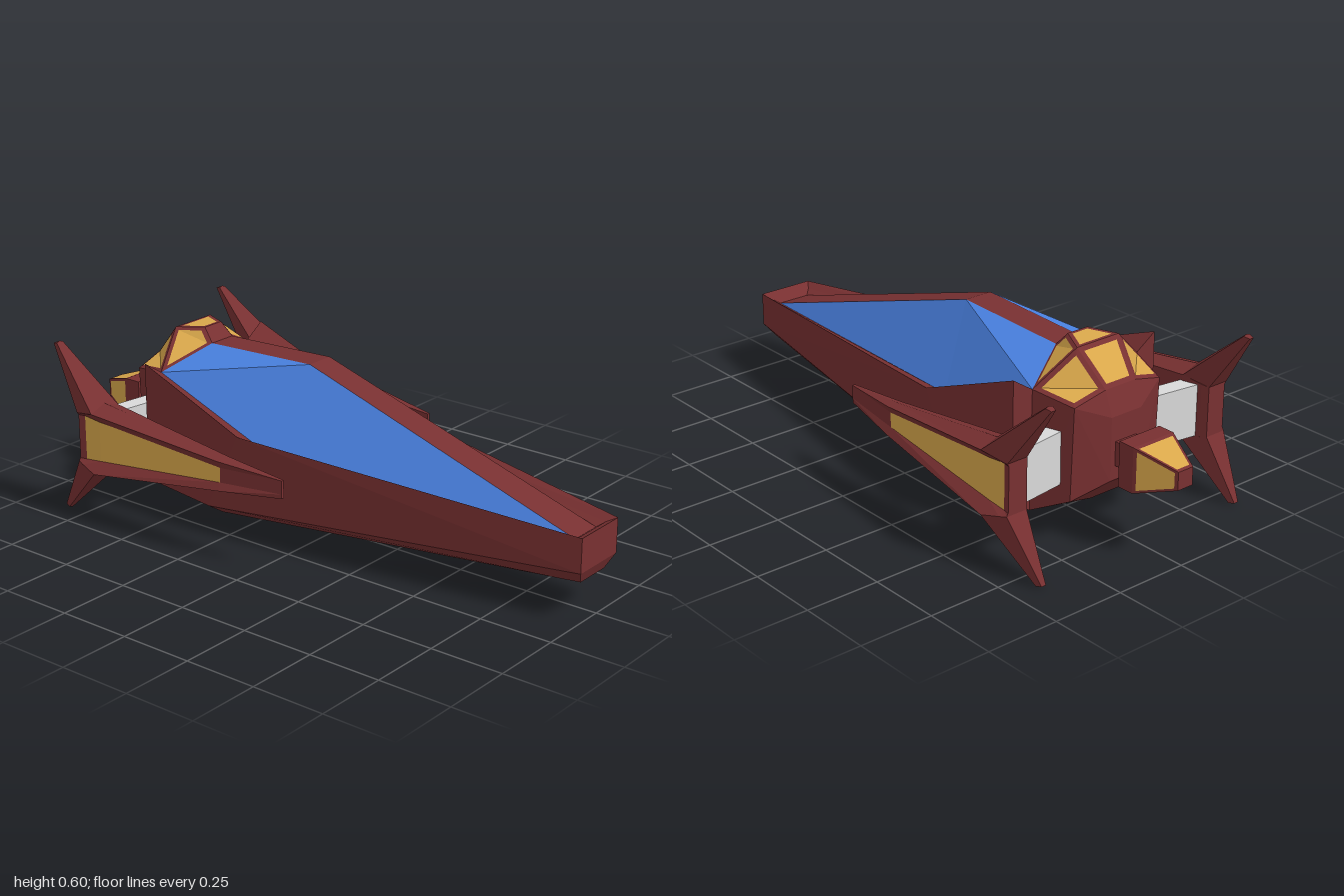
import * as THREE from 'three';
import { ConvexGeometry } from 'three/addons/geometries/ConvexGeometry.js';

const paint = (name, color) => {
  const m = new THREE.MeshStandardMaterial({ color, flatShading: true, side: THREE.DoubleSide });
  m.name = name;
  return m;
};

export function createModel() {
  const red = paint('dark red', 0x783031);
  const blue = paint('canopy blue', 0x4a82e2);
  const gold = paint('gold', 0xdaa84b);
  const grey = paint('light grey', 0xd9d9d9);
  const model = new THREE.Group();
  model.name = 'spaceship';

  const add = (name, geo, mat) => {
    const mesh = new THREE.Mesh(geo, mat);
    mesh.name = name;
    model.add(mesh);
    return mesh;
  };
  // flat polygons, fan-triangulated; s = -1 mirrors them to the other side
  const faces = (name, mat, polys, s = 1) => {
    const pos = [];
    for (const p of polys) {
      for (let i = 1; i < p.length - 1; i++) {
        const tri = s > 0 ? [p[0], p[i], p[i + 1]] : [p[0], p[i + 1], p[i]];
        for (const [x, y, z] of tri) pos.push(x * s, y, z);
      }
    }
    const geo = new THREE.BufferGeometry();
    geo.setAttribute('position', new THREE.Float32BufferAttribute(pos, 3));
    geo.computeVertexNormals();
    return add(name, geo, mat);
  };
  const solid = (name, mat, pts, s = 1) =>
    add(name, new ConvexGeometry(pts.map(([x, y, z]) => new THREE.Vector3(x * s, y, z))), mat);
  const box = (name, w, h, d, x, y, z) =>
    add(name, new THREE.BoxGeometry(w, h, d), red).position.set(x, y, z);
  const mid = ([, y, z]) => [0, y, z];
  const flip = ([x, y, z]) => [-x, y, z];
  // gold panel with a red border
  const framed = (name, poly, k, s = 1) => {
    const c = [0, 1, 2].map(a => poly.reduce((t, p) => t + p[a], 0) / poly.length);
    const inner = poly.map(p => p.map((v, a) => c[a] + (v - c[a]) * k));
    const n = poly.length;
    faces(name + 'Frame', red, poly.map((p, i) => [p, poly[(i + 1) % n], inner[(i + 1) % n], inner[i]]), s);
    faces(name + 'Panel', gold, [inner], s);
  };

  // key points of the left half of the hull, front to back
  const T = [[0.1, 0.28, 1], [0.295, 0.375, -0.17], [0.29, 0.535, -0.57]];
  const L = [[0.1, 0.165, 1], [0.295, 0.105, -0.3], [0.29, 0.13, -0.57]];
  const B = [[0.065, 0.12, 0.98], [0.225, 0.06, -0.3], [0.22, 0.085, -0.57]];
  const I = [[0.08, 0.265, 0.97], [0.22, 0.335, -0.17], [0.215, 0.485, -0.57]];
  const N = [0.058, 0.25, 0.95], P = [0.05, 0.575, -0.07], Q = [0.05, 0.56, -0.49];
  // dome points
  const A = [0.04, 0.605, -0.53], C = [0.085, 0.6, -0.62];
  const E = [0.175, 0.46, -0.71], D = [0.06, 0.49, -0.72];

  // wing cross-sections: eight points around a centre line at y = 0.29
  const section = (z, xi, xo, xp, h, hp, pk) => {
    const xm = (xi + xo) / 2;
    return [[xi, h], [xm, h + pk], [xo, h], [xp, hp], [xp, -hp], [xo, -h], [xm, -h - pk], [xi, -h]]
      .map(([x, y]) => [x, y + 0.29, z]);
  };
  const W = [
    section(0.09, 0.375, 0.385, 0.385, 0.03, 0.015, 0),
    section(-0.14, 0.37, 0.425, 0.412, 0.05, 0.025, 0.008),
    section(-0.64, 0.35, 0.475, 0.44, 0.105, 0.069, 0.022),
    section(-0.705, 0.367, 0.46, 0.44, 0.09, 0.076, 0.005),
    section(-0.73, 0.375, 0.452, 0.445, 0.085, 0.076, 0),
  ];

  for (const s of [1, -1]) {
    const side = s > 0 ? 'left' : 'right';

    // hull: side, chamfer, bottom, rim, nose and inner wall
    const skin = [
      [mid(L[0]), L[0], T[0], mid(T[0])],
      [mid(B[0]), B[0], L[0], mid(L[0])],
      [mid(T[0]), T[0], I[0], mid(I[0])],
      [mid(I[0]), I[0], N, mid(N)],
      [I[0], I[1], N],
      [T[2], L[2], B[2], I[2]],
    ];
    for (let i = 0; i < 2; i++) {
      skin.push(
        [L[i], L[i + 1], T[i + 1], T[i]],
        [B[i], B[i + 1], L[i + 1], L[i]],
        [mid(B[i]), mid(B[i + 1]), B[i + 1], B[i]],
        [T[i], T[i + 1], I[i + 1], I[i]]);
    }
    faces(side + 'Hull', red, skin, s);

    // canopy glass and half of the central spine
    faces(side + 'Canopy', blue, [[N, I[1], P], [P, I[1], I[2]], [P, I[2], Q]], s);
    faces(side + 'Spine', red, [[N, P, mid(P), mid(N)], [P, Q, mid(Q), mid(P)]], s);

    // dome side facets
    framed(side + 'DomeFront', [Q, I[2], C, A], 0.78, s);
    framed(side + 'DomeRear', [I[2], E, D, C], 0.78, s);

    // strut between body and wing
    const strut = [];
    for (const y of [0.2, 0.375]) {
      strut.push([0.16, y, -0.605], [0.16, y, -0.665], [0.385, y, -0.635], [0.385, y, -0.695]);
    }
    solid(side + 'Strut', grey, strut, s);

    // wing pod with a gold outer panel
    const wing = [[...W[0]].reverse(), W[4]], panel = [];
    for (let k = 0; k < 4; k++) {
      for (let i = 0; i < 8; i++) {
        const j = (i + 1) % 8;
        const quad = [W[k][i], W[k][j], W[k + 1][j], W[k + 1][i]];
        (i === 3 && (k === 1 || k === 2) ? panel : wing).push(quad);
      }
    }
    faces(side + 'Wing', red, wing, s);
    faces(side + 'WingPanel', gold, panel, s);

    // swept spikes above and below the wing
    const spikes = [
      ['Upper', [0, 1, 2], [0.402, 0.58, -0.855]],
      ['Lower', [7, 6, 5], [0.405, 0.006, -0.83]],
    ];
    for (const [part, [a, b, c], tip] of spikes) {
      const base = [W[2][a], W[2][b], W[2][c], W[4][c], W[4][a]];
      const centre = [0, 1, 2].map(n => base.reduce((t, p) => t + p[n], 0) / 5);
      const end = base.map(p => p.map((v, n) => tip[n] + (v - centre[n]) * 0.22));
      solid(side + part + 'Spike', red, [...base, ...end], s);
    }
  }

  // dome facets that cross the middle
  faces('domeBrow', red, [[Q, A, flip(A), flip(Q)]]);
  framed('domeTop', [A, C, flip(C), flip(A)], 0.76);
  framed('domeBack', [C, D, flip(D), flip(C)], 0.78);

  // rear body
  const rear = [];
  for (const s of [1, -1]) {
    rear.push(...[[0.215, 0.485, -0.57], [0.22, 0.085, -0.57], E, [0.175, 0.15, -0.7], D,
      [0.06, 0.41, -0.75], [0.06, 0.2, -0.75], [0.07, 0.12, -0.68]].map(([x, y, z]) => [x * s, y, z]));
  }
  solid('rearBody', red, rear);

  // tail pod: neck, collar and tapered cap with gold panels
  box('tailNeck', 0.084, 0.08, 0.08, 0, 0.287, -0.775);
  box('tailCollar', 0.164, 0.15, 0.058, 0, 0.287, -0.836);
  const ring = (w, h, z) => [[w, h], [w, -h], [-w, -h], [-w, h]].map(([x, y]) => [x, y + 0.287, z]);
  const big = ring(0.082, 0.075, -0.865), small = ring(0.03, 0.03, -1);
  for (let i = 0; i < 4; i++) {
    const j = (i + 1) % 4;
    framed('tailCap' + (i + 1), [big[i], big[j], small[j], small[i]], 0.84);
  }
  faces('tailEnd', red, [small]);

  return model;
}
